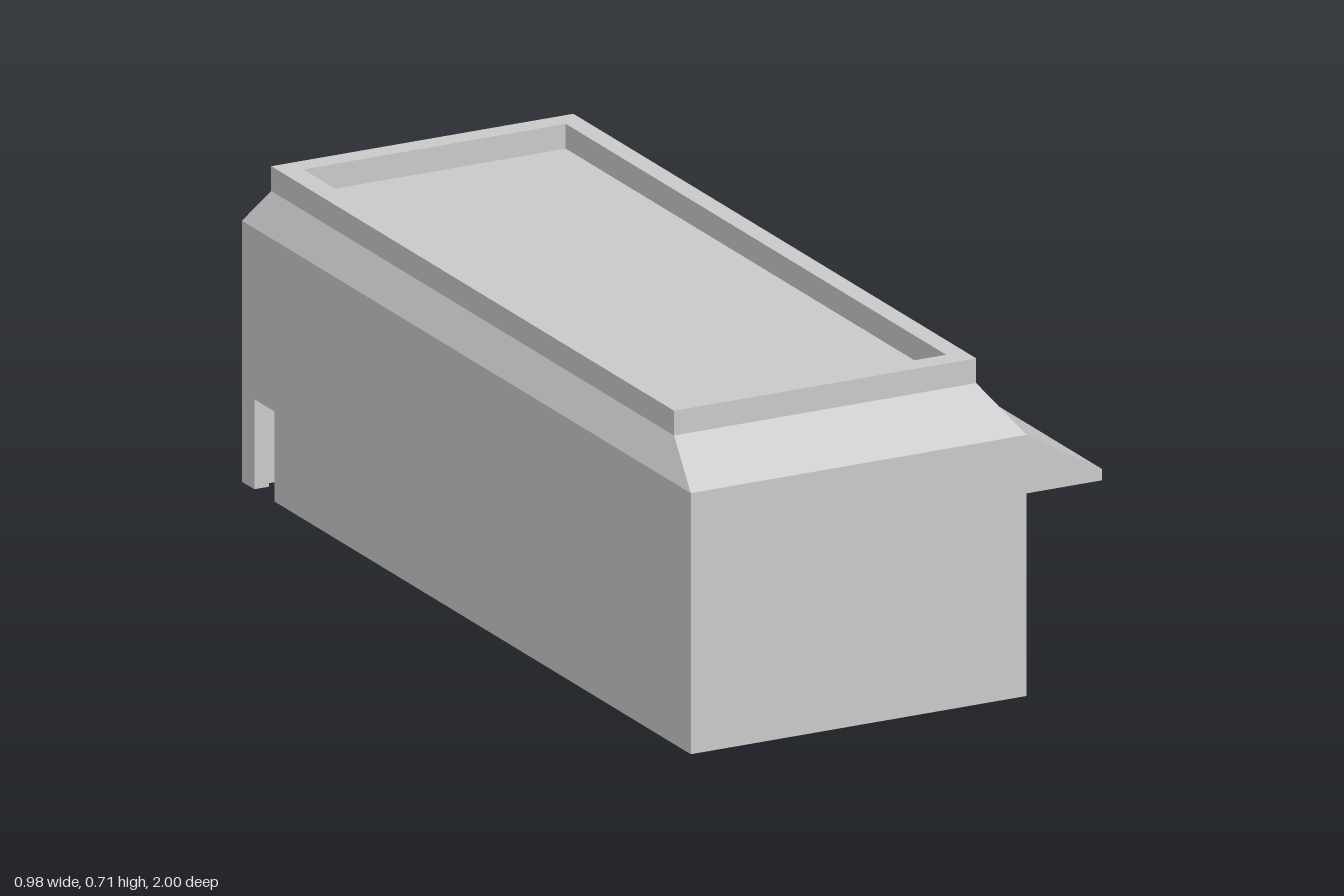
import * as THREE from 'three';

const T = 0.035;        // wall thickness
const EAVE = 0.58;      // top of the walls
const CEILING = 0.42;
const X0 = -0.49, X1 = 0.31; // outer faces of the side walls

const material = new THREE.MeshStandardMaterial({ color: 0xcccccc, flatShading: true });

function add(group, name, geometry) {
  const mesh = new THREE.Mesh(geometry, material);
  mesh.name = name;
  group.add(mesh);
  return mesh;
}

// Axis-aligned box given by its limits
function box(x0, x1, y0, y1, z0, z1) {
  return new THREE.BoxGeometry(x1 - x0, y1 - y0, z1 - z0)
    .translate((x0 + x1) / 2, (y0 + y1) / 2, (z0 + z1) / 2);
}

function rectPath(PathType, a0, a1, b0, b1) {
  return new PathType([[a0, b0], [a1, b0], [a1, b1], [a0, b1]].map(p => new THREE.Vector2(...p)));
}

// Upright wall from a0 to a1; doors are [start, end, height], windows [start, end, bottom, top]
function wall(a0, a1, height, doors = [], windows = []) {
  const pts = [[a0, 0]];
  for (const [d0, d1, h] of doors) pts.push([d0, 0], [d0, h], [d1, h], [d1, 0]);
  pts.push([a1, 0], [a1, height], [a0, height]);
  const shape = new THREE.Shape(pts.map(p => new THREE.Vector2(...p)));
  shape.holes = windows.map(w => rectPath(THREE.Path, ...w));
  return new THREE.ExtrudeGeometry(shape, { depth: T, bevelEnabled: false });
}

// Turns a wall to run along z, with its +x face at the given x
const alongZ = (geometry, x) => geometry.rotateY(-Math.PI / 2).translate(x, 0, 0);

export function createModel() {
  const model = new THREE.Group();
  model.name = 'building';

  // Outer walls
  const shell = new THREE.Group();
  shell.name = 'outerWalls';
  model.add(shell);
  add(shell, 'shopWall', alongZ(wall(-1, 1, EAVE,
    [[0.48, 0.71, 0.23]],
    [[0.735, 0.95, 0.08, 0.21], [0.097, 0.45, 0.08, 0.21], [-0.32, 0.087, 0.08, 0.21]]), X1));
  add(shell, 'sideWall', alongZ(wall(-1, 1, EAVE, [[-0.945, -0.855, 0.2]]), X0 + T));
  add(shell, 'frontWall', box(X0 + T, X1 - T, 0, EAVE, 1 - T, 1));
  add(shell, 'backWall', box(X0 + T, X1 - T, 0, EAVE, -1, -1 + T));

  // Partitions around the back room and its passage
  const rooms = new THREE.Group();
  rooms.name = 'partitions';
  model.add(rooms);
  add(rooms, 'frontPartition',
    wall(X0 + T, X1 - T, CEILING, [[-0.43, -0.3, 0.23]]).translate(0, 0, -0.365));
  add(rooms, 'backPartition',
    wall(-0.3, X1 - T, CEILING, [[0.15, 0.25, 0.23]]).translate(0, 0, -0.85));
  add(rooms, 'passagePartition', alongZ(wall(-0.85 + T, -0.365, CEILING), -0.3 + T));

  // Ceiling slab
  add(model, 'ceiling', box(X0 + T, X1 - T, CEILING, EAVE, -1 + T, 1 - T));

  // Sloping roof edge: a box whose top is drawn inwards
  const top = { x0: -0.455, x1: 0.265, z0: -0.935, z1: 0.86, y: 0.66 };
  const roof = box(X0, X1, EAVE, top.y, -1, 1);
  const pos = roof.attributes.position;
  for (let i = 0; i < pos.count; i++) {
    if (pos.getY(i) < 0.62) continue;
    pos.setX(i, pos.getX(i) > 0 ? top.x1 : top.x0);
    pos.setZ(i, pos.getZ(i) > 0 ? top.z1 : top.z0);
  }
  roof.computeVertexNormals();
  add(model, 'slopedRoof', roof);

  // Parapet ring around the flat roof
  const ring = rectPath(THREE.Shape, top.x0, top.x1, -top.z1, -top.z0);
  ring.holes.push(rectPath(THREE.Path, -0.405, 0.22, -0.81, 0.885));
  add(model, 'parapet', new THREE.ExtrudeGeometry(ring, { depth: 0.055, bevelEnabled: false })
    .rotateX(-Math.PI / 2).translate(0, top.y, 0));

  // Wedge-shaped awning over the shop front
  const wedge = new THREE.Shape([[X1, 0.45], [0.49, 0.45], [0.49, 0.475], [X1, EAVE]]
    .map(p => new THREE.Vector2(...p)));
  add(model, 'awning', new THREE.ExtrudeGeometry(wedge, { depth: 1.365, bevelEnabled: false })
    .translate(0, 0, -0.365));

  return model;
}
